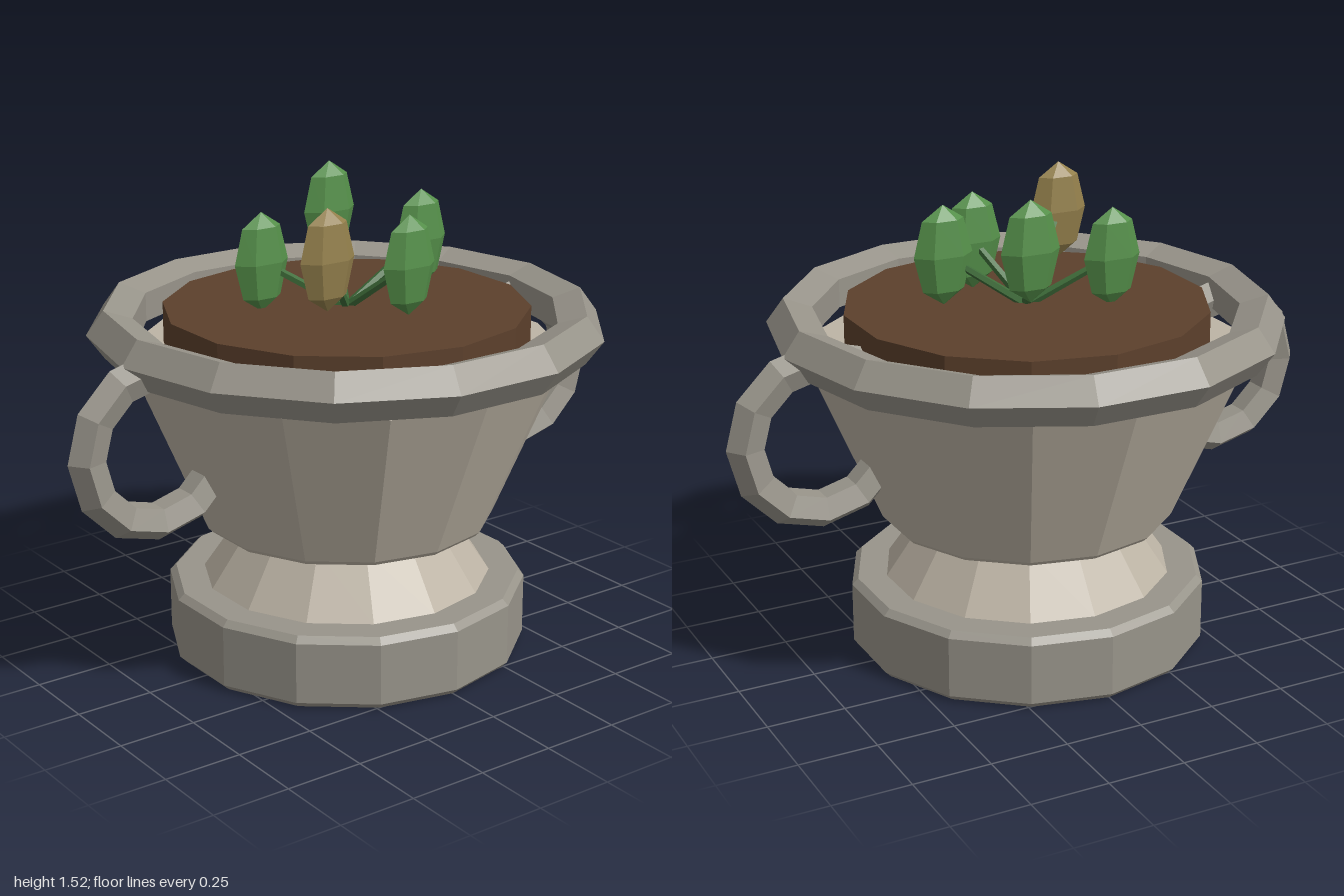
import * as THREE from 'three';

const SIDES = 14;

const paint = (color) => new THREE.MeshStandardMaterial({ color, flatShading: true });

export function createModel() {
  const group = new THREE.Group();
  const stone = paint(0x98948a);
  const paleStone = paint(0xbdb4a5);
  const earth = paint(0x5c402c);
  const green = paint(0x55904a);
  const ochre = paint(0x94804c);
  const stalk = paint(0x3f6e3a);

  const add = (name, geometry, material, x = 0, y = 0, z = 0) => {
    const mesh = new THREE.Mesh(geometry, material);
    mesh.name = name;
    mesh.position.set(x, y, z);
    group.add(mesh);
    return mesh;
  };

  // Turned 14-sided solid from [radius, height] pairs, bottom to top
  const turned = (name, profile, material) =>
    add(name, new THREE.LatheGeometry(profile.map(([r, y]) => new THREE.Vector2(r, y)), SIDES), material);

  // Pedestal, neck and bowl
  turned('base', [[0, 0], [0.555, 0], [0.575, 0.02], [0.575, 0.215], [0.555, 0.235], [0, 0.235]], stone);
  turned('neck', [[0.465, 0.23], [0.335, 0.42], [0.32, 0.435]], paleStone);
  turned('bowl', [[0, 0.427], [0.455, 0.427], [0.47, 0.442], [0.692, 0.968], [0.68, 0.98], [0, 0.98]], paleStone);

  // Rim ring
  add('rim', new THREE.TorusGeometry(0.73, 0.08, 5, SIDES).rotateX(Math.PI / 2), stone, 0, 1.06, 0);

  // Ring handles, partly sunk into the bowl
  for (const side of [1, -1]) {
    add(side > 0 ? 'leftHandle' : 'rightHandle',
      new THREE.TorusGeometry(0.24, 0.06, 5, 12), stone, side * 0.7, 0.797, 0);
  }

  // Soil
  add('soil', new THREE.CylinderGeometry(0.575, 0.575, 0.13, SIDES), earth, 0, 1.055, 0);

  // Leaves on stems fanning out from the middle of the soil
  const root = new THREE.Vector3(0, 1.11, 0);
  const leaves = [
    [0.115, 1.36, -0.25, green],
    [-0.235, 1.265, -0.12, green],
    [0.27, 1.298, 0.027, green],
    [0.083, 1.275, 0.21, green],
    [-0.222, 1.337, 0.21, ochre],
  ];
  for (const [x, y, z, material] of leaves) {
    const tip = new THREE.Vector3(x, y, z);
    const stem = add('stem', new THREE.CylinderGeometry(0.012, 0.015, root.distanceTo(tip), 5), stalk);
    stem.position.copy(root).lerp(tip, 0.5);
    stem.quaternion.setFromUnitVectors(new THREE.Vector3(0, 1, 0), tip.clone().sub(root).normalize());
    add('leaf', new THREE.SphereGeometry(1, 6, 4).scale(0.098, 0.157, 0.048), material, x, y, z);
  }

  return group;
}
